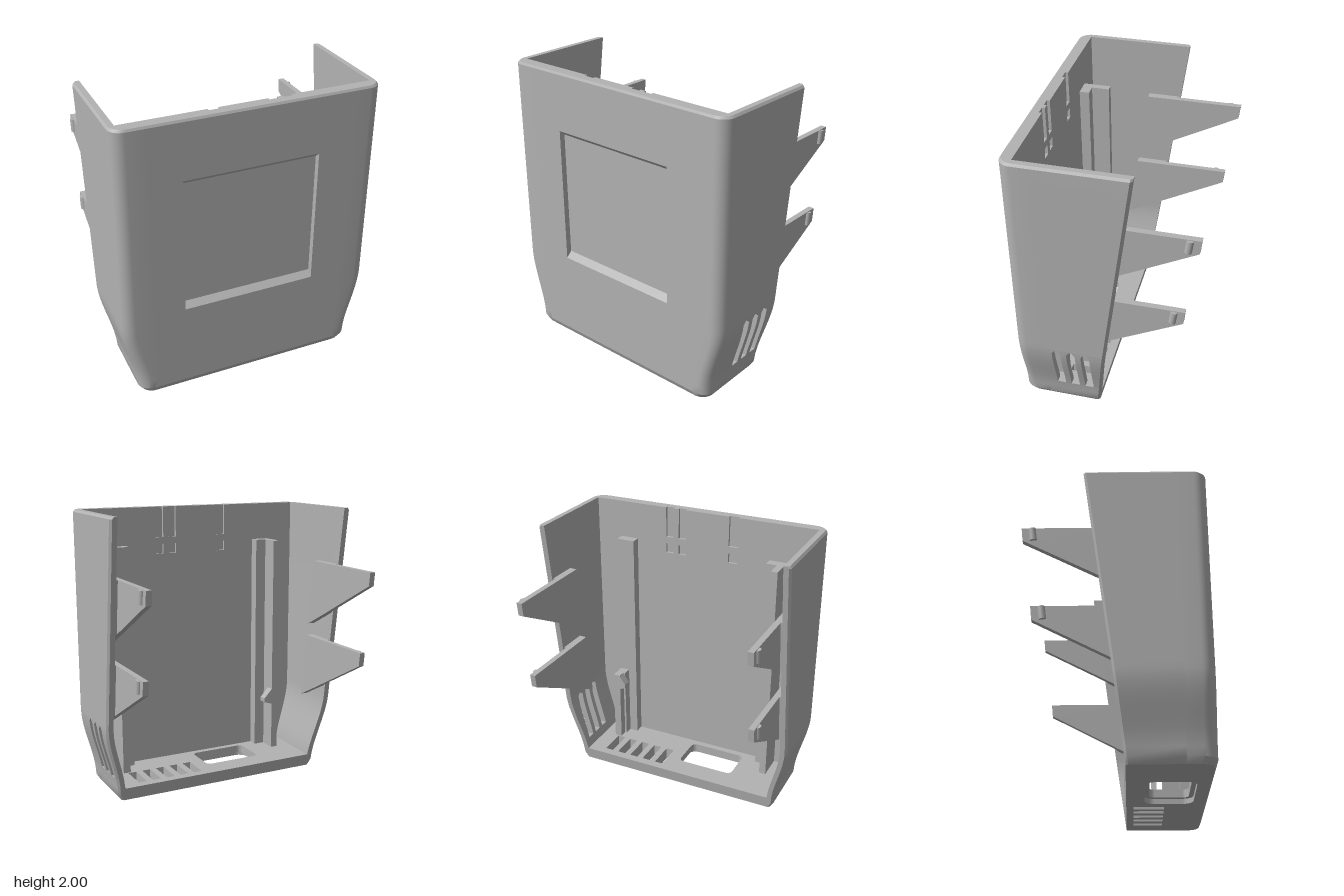
import * as THREE from 'three';
import { mergeGeometries, toCreasedNormals } from 'three/addons/utils/BufferGeometryUtils.js';

const grey = new THREE.MeshStandardMaterial({ color: 0xb2b2b2 });
grey.name = 'grey plastic';

// Outline rules of the case, all by height
const backZ = y => 0.065 - 0.135 * y;
const halfWidth = y => 0.8 + 0.1 * THREE.MathUtils.smoothstep(y, 0.03, 0.57);
const inset = y => (y < 0.04 ? 0.025 * (1 - y / 0.04) : y > 1.985 ? 0.012 * (y - 1.985) / 0.015 : 0);
const frontZ = y => 0.61 - 0.7 * inset(y);
const WALL = 0.05, INNER_Z = 0.525, JOIN_Z = 0.42;
const ROWS = [0, 0.04, 0.1, 0.165, 0.2, 0.25, 0.3, 0.35, 0.4, 0.44, 0.48, 0.52, 0.555, 0.6, 1.985, 2];

// Closed solid through horizontal rings of [x, z] points
function loft(rows, section) {
  let rings = rows.map(y => section(y).map(([x, z]) => new THREE.Vector2(x, z)));
  if (THREE.ShapeUtils.area(rings[0]) < 0) rings = rings.map(r => r.reverse());
  const pos = [];
  const put = (i, j) => pos.push(rings[i][j].x, rows[i], rings[i][j].y);
  const n = rings[0].length, last = rings.length - 1;
  for (let i = 0; i < last; i++) {
    for (let j = 0; j < n; j++) {
      const k = (j + 1) % n;
      put(i, j); put(i + 1, j); put(i, k);
      put(i, k); put(i + 1, j); put(i + 1, k);
    }
  }
  for (const [a, b, c] of THREE.ShapeUtils.triangulateShape(rings[0], [])) {
    put(0, a); put(0, b); put(0, c);
  }
  for (const [a, b, c] of THREE.ShapeUtils.triangulateShape(rings[last], [])) {
    put(last, a); put(last, c); put(last, b);
  }
  const g = new THREE.BufferGeometry();
  g.setAttribute('position', new THREE.Float32BufferAttribute(pos, 3));
  return toCreasedNormals(g, 0.5);
}

// Profile of [z, y] points pushed along x
function extrudeX(points, x0, x1) {
  const shape = new THREE.Shape(points.map(([z, y]) => new THREE.Vector2(-z, y)));
  const g = new THREE.ExtrudeGeometry(shape, { depth: Math.abs(x1 - x0), bevelEnabled: false });
  return g.rotateY(Math.PI / 2).translate(Math.min(x0, x1), 0, 0);
}

function box(x0, x1, y0, y1, z0, z1) {
  return new THREE.BoxGeometry(Math.abs(x1 - x0), y1 - y0, z1 - z0)
    .translate((x0 + x1) / 2, (y0 + y1) / 2, (z0 + z1) / 2);
}

function roundedRect(x0, x1, z0, z1, r) {
  const p = new THREE.Path();
  p.absarc(x1 - r, z1 - r, r, 0, Math.PI / 2);
  p.absarc(x0 + r, z1 - r, r, Math.PI / 2, Math.PI);
  p.absarc(x0 + r, z0 + r, r, Math.PI, Math.PI * 1.5);
  p.absarc(x1 - r, z0 + r, r, Math.PI * 1.5, Math.PI * 2);
  p.closePath();
  return p;
}

export function createModel() {
  const model = new THREE.Group();
  const add = (name, geometries) => {
    const parts = [].concat(geometries).map(g => (g.index ? g.toNonIndexed() : g));
    parts.forEach(g => g.deleteAttribute('uv'));
    const mesh = new THREE.Mesh(mergeGeometries(parts), grey);
    mesh.name = name;
    model.add(mesh);
  };

  // Front panel in vertical strips: window recess outside, cable grooves inside
  const panel = (window, groove) => {
    const p = [[frontZ(0), 0], [0.61, 0.04]];
    if (window) p.push([0.61, 0.635], [0.57, 0.675], [0.57, 1.56], [0.61, 1.595]);
    p.push([0.61, 1.985], [frontZ(2), 2]);
    if (groove) {
      p.push([0.545, 2], [0.545, 1.78], [INNER_Z, 1.78], [INNER_Z, 1.73],
        [0.545, 1.73], [0.545, 1.66], [INNER_Z, 1.66]);
    } else p.push([INNER_Z, 2]);
    p.push([INNER_Z, 0]);
    return p;
  };
  const cuts = [-0.47, -0.27, -0.2, 0.13, 0.19, 0.23, 0.29, 0.465];
  const strips = [extrudeX(panel(false, false), -0.7, -0.47), extrudeX(panel(false, false), 0.465, 0.7)];
  for (let i = 0; i + 1 < cuts.length; i++) {
    strips.push(extrudeX(panel(true, i % 2 === 1), cuts[i], cuts[i + 1]));
  }
  add('frontPanel', strips);

  // Side wall piece between two depth rules, with a chamfer at its back edge
  const wallPiece = (s, y0, y1, zLow, zHigh, c) => loft(ROWS.filter(y => y >= y0 && y <= y1), y => {
    const xo = halfWidth(y) - inset(y), xi = halfWidth(y) - WALL;
    return [[xo, zHigh(y)], [xo, zLow(y) + c], [xo - c, zLow(y)], [xi, zLow(y)], [xi, zHigh(y)]]
      .map(([x, z]) => [s * x, z]);
  });
  const joinZ = () => JOIN_Z;

  // Rounded front corners
  for (const s of [1, -1]) {
    const r = 0.085;
    add(s > 0 ? 'leftCorner' : 'rightCorner', loft(ROWS, y => {
      const xo = halfWidth(y) - inset(y), xi = halfWidth(y) - WALL, zf = frontZ(y);
      const ring = [[xo, JOIN_Z]];
      for (let i = 0; i <= 8; i++) {
        const a = i / 8 * Math.PI / 2;
        ring.push([xo - r + r * Math.cos(a), zf - r + r * Math.sin(a)]);
      }
      ring.push([0.685, zf], [0.685, INNER_Z], [xi, INNER_Z], [xi, JOIN_Z]);
      return ring.map(([x, z]) => [s * x, z]);
    }));
  }

  // Plain right wall; left wall with three pointed vents
  add('rightWall', wallPiece(-1, 0, 2, backZ, joinZ, 0.015));
  const slotHalf = y => (y <= 0.52 ? 0.03 : 0.0003);
  const vents = [0.125, 0.225, 0.325];
  const left = [
    wallPiece(1, 0, 0.165, backZ, joinZ, 0.015),
    wallPiece(1, 0.555, 2, backZ, joinZ, 0.015),
  ];
  for (let i = 0; i <= vents.length; i++) {
    const low = i === 0 ? backZ : y => vents[i - 1] + slotHalf(y);
    const high = i === vents.length ? joinZ : y => vents[i] - slotHalf(y);
    left.push(wallPiece(1, 0.165, 0.555, low, high, i === 0 ? 0.015 : 0.0005));
  }
  add('leftWall', left);

  // Floor with vent slots and a port opening that widens underneath
  const floorLayer = (y0, y1, grow) => {
    const shape = new THREE.Shape([[-0.758, 0], [0.758, 0], [0.758, 0.53], [-0.758, 0.53]]
      .map(p => new THREE.Vector2(...p)));
    shape.holes.push(roundedRect(-0.4 - grow, 0.03 + grow, 0.215 - grow, 0.48 + grow, 0.04 + grow));
    for (let i = 0; i < 5; i++) {
      const x = 0.16 + i * 0.109;
      shape.holes.push(new THREE.Path([[x - 0.031, 0.115], [x + 0.031, 0.115], [x + 0.031, 0.32], [x - 0.031, 0.32]]
        .map(p => new THREE.Vector2(...p))));
    }
    const g = new THREE.ExtrudeGeometry(shape, { depth: y1 - y0, bevelEnabled: false, curveSegments: 6 });
    g.rotateX(Math.PI / 2).translate(0, y1, 0);
    const p = g.attributes.position;
    for (let i = 0; i < p.count; i++) if (p.getZ(i) < 0.05) p.setZ(i, backZ(p.getY(i)));
    g.computeVertexNormals();
    return g;
  };
  add('floor', [floorLayer(0, 0.035, 0.03), floorLayer(0.035, 0.09, 0)]);

  // Snap arms: two on each side, the lower one shifted along the sloping back
  for (const s of [1, -1]) {
    for (const [name, dy, dz] of [['upper', 0, 0], ['lower', -0.578, 0.08]]) {
      const move = pts => pts.map(([z, y]) => [z + dz, y + dy]);
      const blade = move([[-0.605, 1.595], [-0.595, 1.5], [-0.105, 1.24], [0.145, 1.11], [0.085, 1.595]]);
      const pad = move([[-0.137, 1.595], [-0.087, 1.23], [0.145, 1.11], [0.085, 1.595]]);
      const bump = new THREE.CylinderGeometry(0.024, 0.024, 0.09, 16)
        .rotateX(-0.13).translate(s * 0.831, 1.545 + dy, -0.53 + dz);
      add(name + (s > 0 ? 'LeftArm' : 'RightArm'), [
        extrudeX(blade, s * 0.795, s * 0.835),
        extrudeX(pad, s * 0.795, s * 0.86),
        bump,
      ]);
    }
  }

  // Board rails on the inside of the front panel, each with a small sloped catch
  const catchHook = (x0, x1, y) => {
    const shape = new THREE.Shape([[x0, y], [x0, y - 0.12], [x1, y - 0.1], [x1, y - 0.07]]
      .map(p => new THREE.Vector2(...p)));
    return new THREE.ExtrudeGeometry(shape, { depth: 0.06, bevelEnabled: false }).translate(0, 0, 0.33);
  };
  add('leftRail', [
    box(0.525, 0.66, 0.08, 1.73, 0.455, 0.53),
    box(0.605, 0.66, 0.08, 0.645, 0.33, 0.46),
    box(0.59, 0.61, 0.08, 0.645, 0.39, 0.46),
    catchHook(0.61, 0.56, 0.645),
  ]);
  add('rightRail', [
    box(-0.64, -0.51, 0.08, 1.73, 0.455, 0.53),
    box(-0.64, -0.59, 0.08, 1.73, 0.33, 0.46),
    catchHook(-0.59, -0.525, 0.57),
  ]);

  return model;
}
